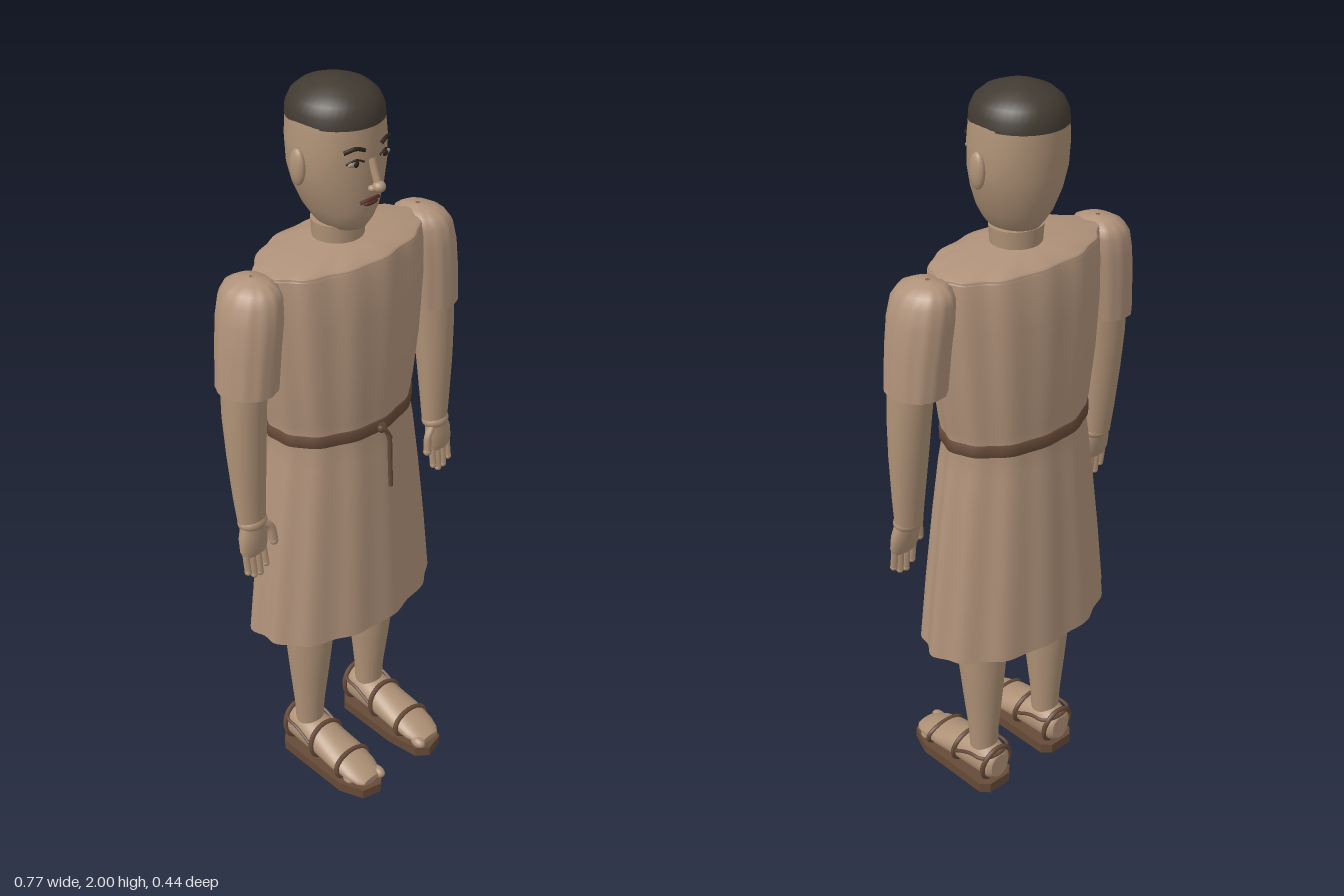
import * as THREE from 'three';

const mat = (name, color, side = THREE.FrontSide) => {
  const m = new THREE.MeshStandardMaterial({ color, side });
  m.name = name;
  return m;
};

// Surface through elliptical rings [y, cx, cz, rx, rz, ripple], listed from bottom to top
function loft(rings, { seg = 32, caps = true } = {}) {
  const pos = [], idx = [];
  for (const [y, cx, cz, rx, rz, a = 0] of rings) {
    for (let j = 0; j < seg; j++) {
      const t = (j / seg) * Math.PI * 2;
      const k = 1 + a * (Math.cos(13 * t) + 0.6 * Math.cos(7 * t + 1));
      pos.push(cx + rx * k * Math.cos(t), y, cz + rz * k * Math.sin(t));
    }
  }
  for (let i = 0; i < rings.length - 1; i++) {
    for (let j = 0; j < seg; j++) {
      const n = (j + 1) % seg, a = i * seg + j, b = i * seg + n;
      idx.push(a, a + seg, b, b, a + seg, b + seg);
    }
  }
  if (caps) {
    for (const end of [0, rings.length - 1]) {
      const [y, cx, cz] = rings[end], c = pos.length / 3, o = pos.length / 3 + 1;
      const ring = pos.slice(end * seg * 3, (end + 1) * seg * 3);
      pos.push(cx, y, cz, ...ring);
      for (let j = 0; j < seg; j++) {
        const n = (j + 1) % seg;
        if (end === 0) idx.push(c, o + j, o + n);
        else idx.push(c, o + n, o + j);
      }
    }
  }
  const g = new THREE.BufferGeometry();
  g.setAttribute('position', new THREE.Float32BufferAttribute(pos, 3));
  g.setIndex(idx);
  g.computeVertexNormals();
  return g;
}

const V = (x, y, z) => new THREE.Vector3(x, y, z);
const tube = (pts, r, closed = false, n = 24) =>
  new THREE.TubeGeometry(new THREE.CatmullRomCurve3(pts, closed), n, r, 6, closed);
const ball = (x, y, z, rx, ry, rz) =>
  new THREE.SphereGeometry(1, 16, 12).scale(rx, ry, rz).translate(x, y, z);

export function createModel() {
  const root = new THREE.Group();
  root.name = 'standingFigure';
  const skin = mat('skin', 0xae9176);
  const cloth = mat('tunicCloth', 0xb0927a, THREE.DoubleSide);
  const hair = mat('hair', 0x413a31);
  const leather = mat('leather', 0x664a38);
  const dark = mat('darkFeatures', 0x2c221c);
  const lip = mat('lips', 0x5a3029);
  const eyeTone = mat('eyeTone', 0xa09484);

  const add = (name, geo, material, parent = root) => {
    const m = new THREE.Mesh(geo, material);
    m.name = name;
    parent.add(m);
    return m;
  };
  const group = (name) => {
    const g = new THREE.Group();
    g.name = name;
    root.add(g);
    return g;
  };

  // Tunic: skirt and bodice in one pleated sheet, yoke across the shoulders
  const open = { seg: 120, caps: false };
  add('tunic', loft([
    [0.52, 0, -0.04, 0.288, 0.177, 0.02],
    [0.7, 0, -0.04, 0.268, 0.168, 0.019],
    [0.9, 0, -0.04, 0.242, 0.157, 0.017],
    [1.05, 0, -0.04, 0.22, 0.147, 0.015],
    [1.12, 0, -0.04, 0.207, 0.139, 0.01],
    [1.17, 0, -0.04, 0.217, 0.146, 0.013],
    [1.3, 0, -0.04, 0.235, 0.152, 0.016],
    [1.45, 0, -0.04, 0.246, 0.153, 0.017],
    [1.54, 0, -0.04, 0.248, 0.146, 0.018],
    [1.585, 0, -0.04, 0.244, 0.134, 0.02],
  ], open), cloth);
  add('shoulderYoke', loft([
    [1.578, 0, -0.04, 0.246, 0.136, 0.02],
    [1.59, 0, -0.04, 0.24, 0.13, 0.02],
    [1.603, 0, -0.04, 0.14, 0.09, 0.015],
    [1.612, 0, -0.04, 0.055, 0.05],
  ], open), cloth);

  // Belt with knot and hanging cord
  add('belt', loft([
    [1.108, 0, -0.04, 0.205, 0.138, 0.01],
    [1.112, 0, -0.04, 0.216, 0.147, 0.01],
    [1.142, 0, -0.04, 0.216, 0.147, 0.01],
    [1.146, 0, -0.04, 0.205, 0.138, 0.01],
  ], open), leather);
  add('beltKnot', ball(0, 1.125, 0.113, 0.014, 0.014, 0.01), leather);
  add('beltCord', tube([V(0, 1.13, 0.112), V(0.012, 1.1, 0.124), V(0.014, 1.03, 0.128), V(0.014, 0.95, 0.132)], 0.006), leather);
  add('beltCordShort', tube([V(-0.008, 1.14, 0.112), V(0.004, 1.12, 0.122), V(0.02, 1.09, 0.124)], 0.005), leather);

  // Head
  const head = group('head');
  add('neck', new THREE.CylinderGeometry(0.069, 0.064, 0.07, 32).scale(1, 1, 0.93).translate(0, 1.62, -0.042), skin, head);
  add('skull', loft([
    [1.636, 0, -0.03, 0.03, 0.045],
    [1.648, 0, -0.031, 0.052, 0.068],
    [1.67, 0, -0.032, 0.068, 0.084],
    [1.7, 0, -0.036, 0.086, 0.099],
    [1.75, 0, -0.042, 0.107, 0.11],
    [1.8, 0, -0.046, 0.119, 0.116],
    [1.86, 0, -0.048, 0.12, 0.119],
    [1.92, 0, -0.05, 0.112, 0.119],
  ], { seg: 40 }), skin, head);
  add('hairCap', loft([
    [1.91, 0, -0.05, 0.113, 0.121],
    [1.935, 0, -0.05, 0.111, 0.119],
    [1.96, 0, -0.05, 0.1, 0.107],
    [1.978, 0, -0.05, 0.079, 0.085],
    [1.992, 0, -0.05, 0.045, 0.048],
    [2.0, 0, -0.05, 0.01, 0.01],
  ], { seg: 40 }), hair, head);
  add('noseBridge', tube([V(0, 1.835, 0.068), V(0, 1.8, 0.08), V(0, 1.772, 0.092)], 0.01), skin, head);
  add('noseTip', ball(0, 1.772, 0.093, 0.016, 0.014, 0.016), skin, head);
  add('upperLip', tube([V(-0.03, 1.728, 0.061), V(-0.01, 1.734, 0.07), V(0.01, 1.734, 0.07), V(0.03, 1.728, 0.061)], 0.005), lip, head);
  add('lowerLip', ball(0, 1.725, 0.067, 0.022, 0.007, 0.008), lip, head);

  // Foot cross-sections running heel to toe: [z, centre height, half width, half height]
  const footRings = [
    [-0.11, 0.075, 0.03, 0.036], [-0.097, 0.08, 0.046, 0.05], [-0.05, 0.086, 0.052, 0.056],
    [0.02, 0.078, 0.055, 0.047], [0.1, 0.066, 0.059, 0.036], [0.16, 0.055, 0.054, 0.024],
    [0.19, 0.048, 0.044, 0.017], [0.205, 0.045, 0.03, 0.01],
  ];

  for (const s of [1, -1]) {
    const side = s > 0 ? 'left' : 'right';

    // Facial features and ear
    add(side + 'Ear', ball(s * 0.124, 1.815, -0.045, 0.014, 0.045, 0.023), skin, head);
    add(side + 'Nostril', ball(s * 0.013, 1.768, 0.083, 0.009, 0.008, 0.01), skin, head);
    add(side + 'Eye', ball(s * 0.046, 1.832, 0.061, 0.021, 0.008, 0.006), eyeTone, head);
    add(side + 'Iris', ball(s * 0.046, 1.832, 0.066, 0.008, 0.008, 0.004), dark, head);
    add(side + 'EyeLid', tube([V(s * 0.024, 1.833, 0.069), V(s * 0.046, 1.842, 0.066), V(s * 0.068, 1.833, 0.054)], 0.0025), dark, head);
    add(side + 'Eyebrow', tube([V(s * 0.025, 1.862, 0.072), V(s * 0.048, 1.87, 0.067), V(s * 0.074, 1.862, 0.053)], 0.005), dark, head);

    // Arm: sleeve, forearm, wrist, hand
    const arm = group(side + 'Arm');
    add('sleeve', loft([
      [1.32, s * 0.311, -0.032, 0.073, 0.08, 0.012],
      [1.42, s * 0.303, -0.033, 0.074, 0.084, 0.012],
      [1.5, s * 0.293, -0.035, 0.074, 0.087, 0.012],
      [1.55, s * 0.286, -0.037, 0.069, 0.083, 0.012],
      [1.575, s * 0.281, -0.039, 0.056, 0.07, 0.012],
      [1.588, s * 0.277, -0.041, 0.036, 0.045, 0.012],
      [1.594, s * 0.275, -0.042, 0.006, 0.006],
    ], { seg: 64, caps: false }), cloth, arm);
    add('forearm', loft([
      [0.94, s * 0.331, -0.012, 0.038, 0.03],
      [1.02, s * 0.332, -0.016, 0.044, 0.036],
      [1.14, s * 0.331, -0.021, 0.051, 0.046],
      [1.25, s * 0.329, -0.026, 0.055, 0.053],
      [1.36, s * 0.322, -0.029, 0.058, 0.058],
    ]), skin, arm);
    add('wrist', new THREE.SphereGeometry(1, 20, 12).scale(0.041, 0.024, 0.033).translate(s * 0.331, 0.945, -0.01), skin, arm);
    add('palm', loft([
      [0.855, s * 0.338, 0.002, 0.036, 0.013],
      [0.875, s * 0.338, 0, 0.043, 0.019],
      [0.91, s * 0.336, -0.004, 0.043, 0.023],
      [0.945, s * 0.332, -0.008, 0.035, 0.024],
    ]), skin, arm);
    [0.81, 0.793, 0.796, 0.812].forEach((tip, i) => {
      const x = s * (0.309 + i * 0.0195);
      add('finger', tube([V(x, 0.88, 0), V(x, 0.84, 0.005), V(x, tip, 0.009)], 0.0095, false, 8), skin, arm);
      add('fingertip', ball(x, tip, 0.009, 0.0095, 0.009, 0.0095), skin, arm);
    });
    add('thumb', tube([V(s * 0.312, 0.935, 0), V(s * 0.288, 0.915, 0.006), V(s * 0.281, 0.868, 0.011)], 0.0115, false, 10), skin, arm);
    add('thumbTip', ball(s * 0.281, 0.868, 0.011, 0.0115, 0.012, 0.0115), skin, arm);

    // Leg and foot
    const leg = group(side + 'Leg');
    const fx = s * 0.118;
    add('lowerLeg', loft([
      [0.1, fx, -0.045, 0.039, 0.037],
      [0.18, fx, -0.045, 0.042, 0.041],
      [0.3, fx, -0.043, 0.054, 0.054],
      [0.42, fx, -0.041, 0.065, 0.066],
      [0.52, fx, -0.04, 0.068, 0.07],
      [0.8, fx, -0.04, 0.075, 0.078],
    ]), skin, leg);
    add('foot', loft(footRings.map(([z, y, rx, ry]) => [z, fx, -y, rx, ry])).rotateX(Math.PI / 2), skin, leg);
    for (let i = 0; i < 5; i++) {
      const r = i === 0 ? 0.016 : 0.0115;
      add('toe', ball(s * (0.082 + i * 0.019 + (i ? 0.004 : 0)), 0.044, 0.192 - i * 0.009, r, r, r * 1.5), skin, leg);
    }

    // Sandal: sole and straps
    const sole = new THREE.Shape([
      [0.056, 0.1], [0.068, 0.195], [0.1, 0.222], [0.155, 0.208], [0.181, 0.14],
      [0.176, -0.09], [0.155, -0.112], [0.085, -0.112], [0.062, -0.09],
    ].map(([x, z]) => new THREE.Vector2(s * x, z)));
    add('sandalSole', new THREE.ExtrudeGeometry(sole, { depth: 0.03, bevelEnabled: false })
      .rotateX(Math.PI / 2).translate(0, 0.03, 0), leather, leg);
    for (const [z, y, rx, ry] of [[0.125, 0.061, 0.06, 0.034], [0.02, 0.078, 0.058, 0.05], [-0.094, 0.08, 0.05, 0.054]]) {
      const ring = [...Array(16).keys()].map((i) => {
        const t = (i / 16) * Math.PI * 2;
        return V(fx + rx * Math.cos(t), y + ry * Math.sin(t), z - 0.008 * Math.sin(t));
      });
      add('sandalStrap', tube(ring, 0.007, true, 40), leather, leg);
    }
    add('ankleStrap', tube([V(fx - 0.055, 0.08, 0.02), V(fx - 0.054, 0.11, -0.04), V(fx - 0.046, 0.115, -0.09),
      V(fx, 0.118, -0.106), V(fx + 0.046, 0.115, -0.09), V(fx + 0.054, 0.11, -0.04), V(fx + 0.055, 0.08, 0.02)], 0.005, false, 40), leather, leg);
  }
  return root;
}
